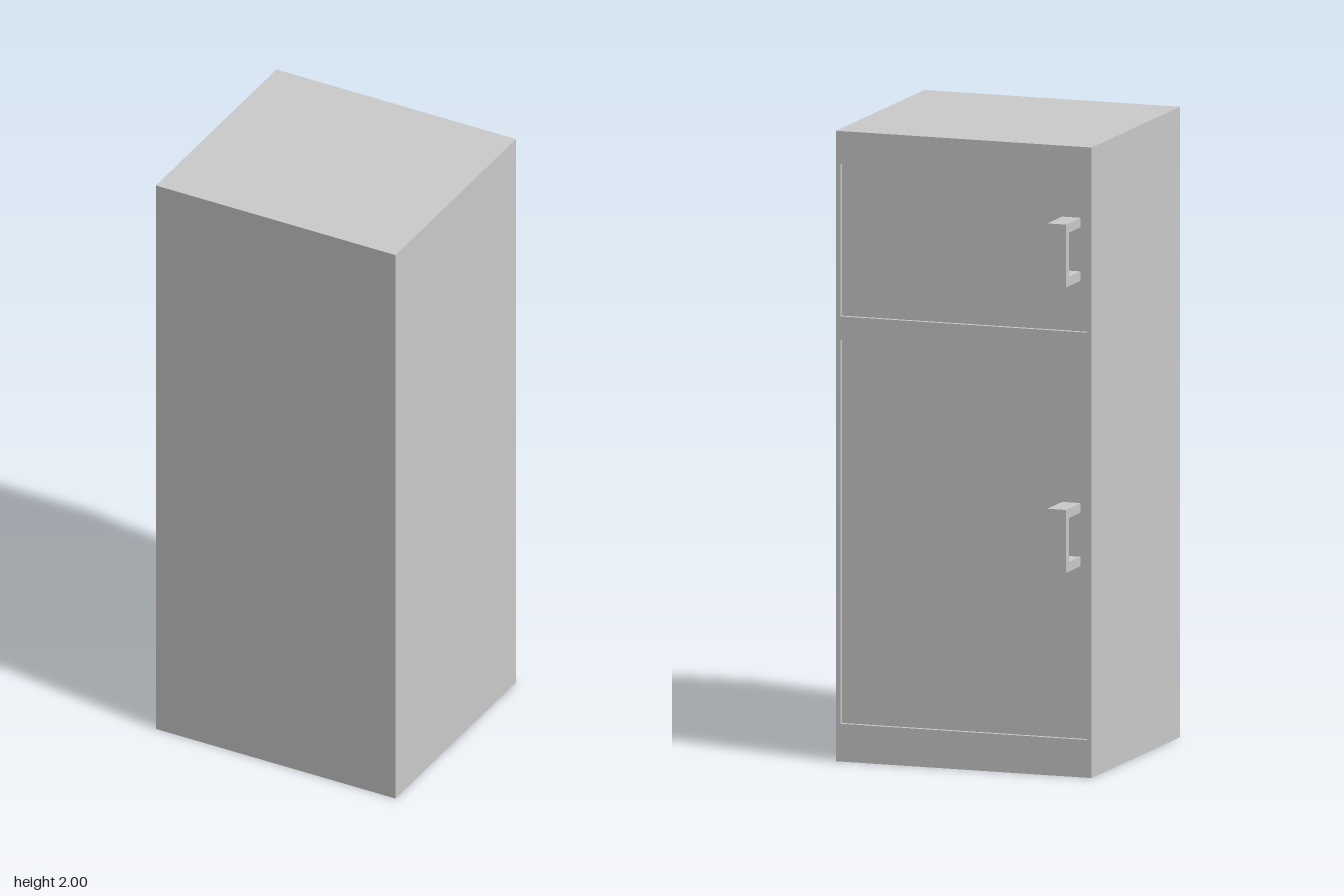
import * as THREE from 'three';

const W = 0.854, H = 2, BACK = 0.449, FACE = -0.333, RECESS = 0.015, OUT = -0.449;
const PANEL = FACE + RECESS;

const material = new THREE.MeshStandardMaterial({ color: 0xcccccc, flatShading: true });

function add(group, name, geometry) {
  const mesh = new THREE.Mesh(geometry, material);
  mesh.name = name;
  group.add(mesh);
  return mesh;
}

// Closed outline from [x, y] corners
const outline = (points) => points.map(([x, y]) => new THREE.Vector2(x, y));
const rect = (x0, y0, x1, y1) => outline([[x0, y0], [x1, y0], [x1, y1], [x0, y1]]);

export function createModel() {
  const fridge = new THREE.Group();
  fridge.name = 'refrigerator';

  // Cabinet, whose door-side surface forms the recessed door panels
  add(fridge, 'cabinet', new THREE.BoxGeometry(W, H, BACK - PANEL))
    .position.set(0, H / 2, (BACK + PANEL) / 2);

  // Raised frame around the two doors
  const frame = new THREE.Shape(rect(-W / 2, 0, W / 2, H));
  for (const [bottom, top] of [[0.12, 1.337], [1.412, 1.896]]) {
    frame.holes.push(new THREE.Path(rect(-0.412, bottom, 0.412, top).reverse()));
  }
  add(fridge, 'doorFrame', new THREE.ExtrudeGeometry(frame, { depth: RECESS, bevelEnabled: false }))
    .position.z = FACE;

  // Bracket handles: C profile in the z-y plane, extruded along x
  const h = 0.1, t = 0.03, inner = OUT + 0.027;
  const profile = new THREE.Shape(outline([
    [OUT, -h], [PANEL, -h], [PANEL, -h + t], [inner, -h + t],
    [inner, h - t], [PANEL, h - t], [PANEL, h], [OUT, h],
  ]));
  const handle = new THREE.ExtrudeGeometry(profile, { depth: 0.062, bevelEnabled: false });
  handle.rotateY(-Math.PI / 2);
  for (const [name, y] of [['lowerHandle', 0.767], ['upperHandle', 1.672]]) {
    add(fridge, name, handle).position.set(-0.323, y, 0);
  }

  return fridge;
}
